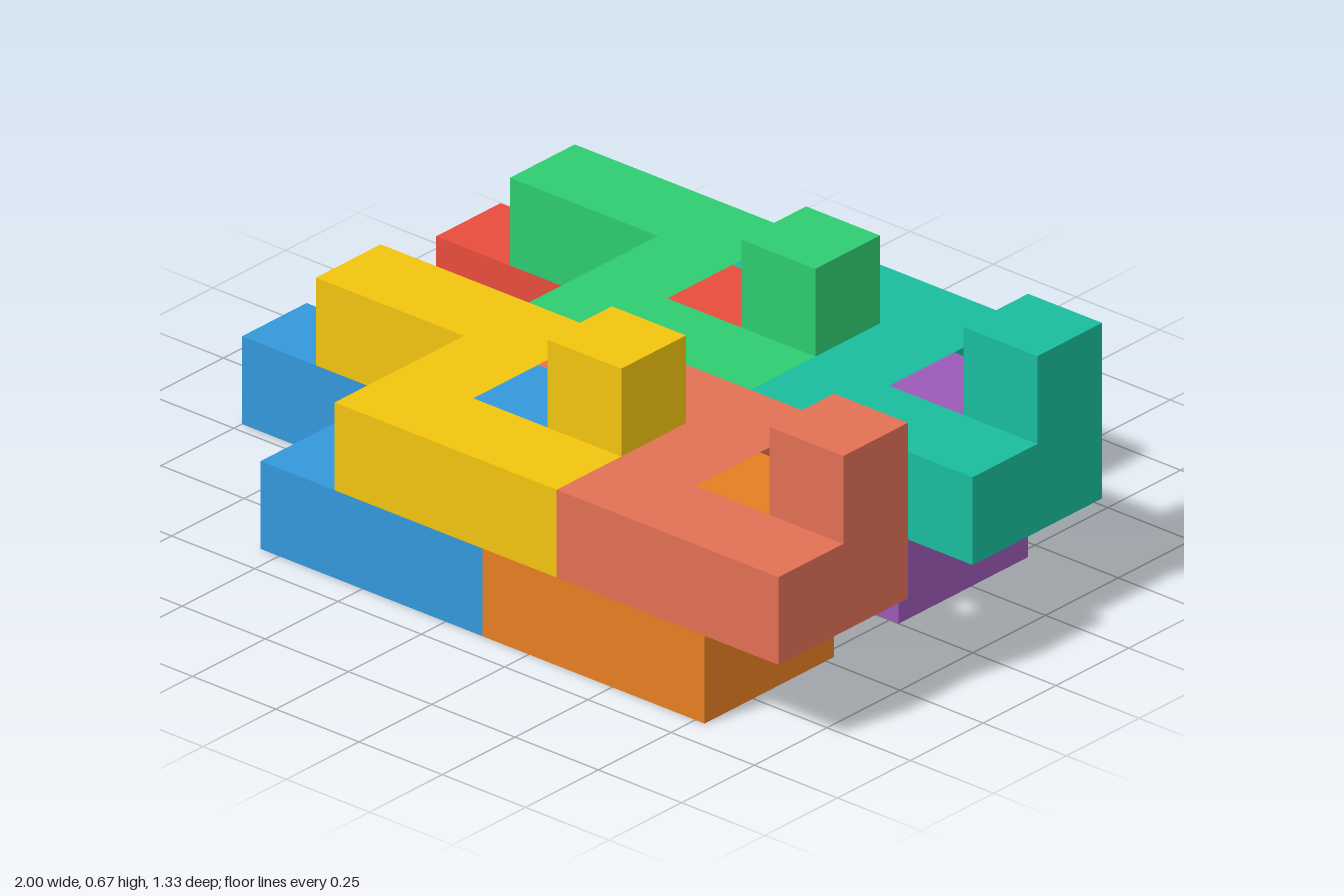
import * as THREE from 'three';

const U = 2 / 9; // edge of one unit cube

// Flat S-shaped footprint of one piece in unit cells: [x, z] corners
const OUTLINE = [[0, 0], [3, 0], [3, 2], [4, 2], [4, 1], [5, 1], [5, 3], [2, 3], [2, 1], [0, 1]];

// One interlocking piece: the hooked slab plus the knob standing on its end
function makePiece(name, color) {
  const piece = new THREE.Group();
  piece.name = name;
  const material = new THREE.MeshStandardMaterial({ color });

  const shape = new THREE.Shape(OUTLINE.map(([x, z]) => new THREE.Vector2(x * U, -z * U)));
  const slabGeometry = new THREE.ExtrudeGeometry(shape, { depth: U, bevelEnabled: false });
  slabGeometry.rotateX(-Math.PI / 2);
  const slab = new THREE.Mesh(slabGeometry, material);
  slab.name = 'hookedSlab';

  const knob = new THREE.Mesh(new THREE.BoxGeometry(U, U, U), material);
  knob.name = 'knob';
  knob.position.set(4.5 * U, 1.5 * U, 1.5 * U);

  piece.add(slab, knob);
  return piece;
}

export function createModel() {
  const model = new THREE.Group();
  model.name = 'interlockingPieces';

  // name, color, and cell of the piece's corner along x, y, z
  const pieces = [
    ['bluePiece', 0x3498db, 0, 0, 3],
    ['orangePiece', 0xe67e22, 3, 0, 3],
    ['redPiece', 0xe74c3c, 0, 0, 0],
    ['purplePiece', 0x9b59b6, 3, 0, 0],
    ['yellowPiece', 0xf1c40f, 1, 1, 3],
    ['salmonPiece', 0xe17055, 4, 1, 3],
    ['greenPiece', 0x2ecc71, 1, 1, 0],
    ['tealPiece', 0x1abc9c, 4, 1, 0],
  ];

  for (const [name, color, x, y, z] of pieces) {
    const piece = makePiece(name, color);
    piece.position.set((x - 4.5) * U, y * U, (z - 3) * U);
    model.add(piece);
  }
  return model;
}
